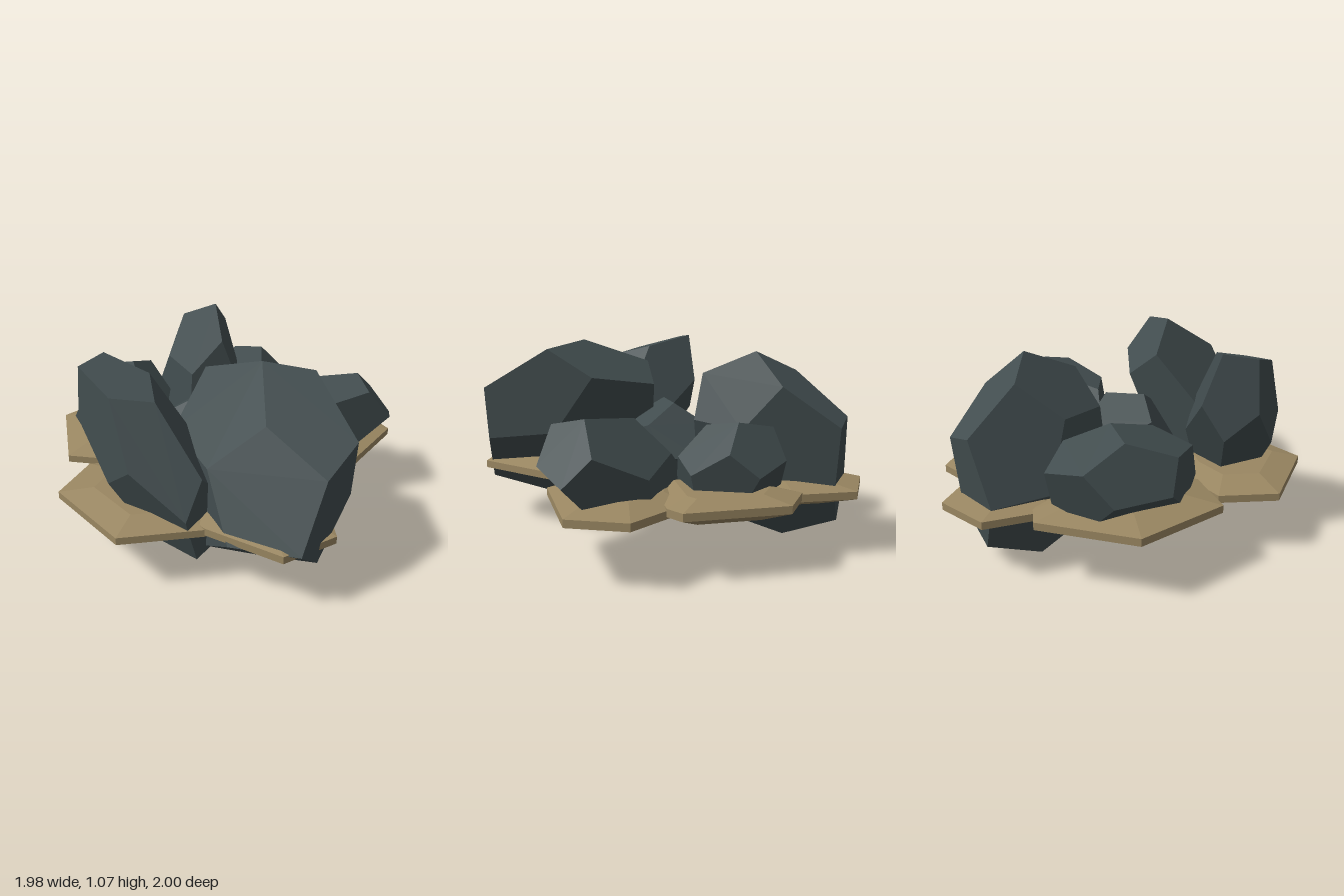
import * as THREE from 'three';
import { ConvexGeometry } from 'three/addons/geometries/ConvexGeometry.js';

const PHI = (1 + Math.sqrt(5)) / 2;

// Twelve-sided boulder, stretched and leaned. a, b, c are the offsets from the
// centre to the three corners that surround the boulder's top corner.
function boulderGeometry(centre, a, b, c) {
  const va = new THREE.Vector3(...a);
  let vb = new THREE.Vector3(...b), vc = new THREE.Vector3(...c);
  if (va.dot(vb.clone().cross(vc)) > 0) [vb, vc] = [vc, vb];
  const t = 1 / PHI;
  const unit = new THREE.Matrix4().makeBasis(
    new THREE.Vector3(0, t, PHI),
    new THREE.Vector3(t, PHI, 0),
    new THREE.Vector3(PHI, 0, t)
  );
  const lean = new THREE.Matrix4().makeBasis(va, vb, vc).multiply(unit.invert());
  const geo = new THREE.DodecahedronGeometry(Math.sqrt(3));
  geo.applyMatrix4(lean);
  geo.translate(...centre);
  geo.computeVertexNormals();
  return geo;
}

// Flat sand slab: a thin rim that rises and falls to smaller inner faces.
function slabGeometry(outline, lift) {
  const n = outline.length;
  const cx = outline.reduce((s, p) => s + p[0], 0) / n;
  const cz = outline.reduce((s, p) => s + p[1], 0) / n;
  const rings = [[0.6, 0.264], [1, 0.316], [1, 0.356], [0.62, 0.393]];
  const points = [];
  for (const [k, y] of rings) {
    for (const [x, z] of outline) {
      points.push(new THREE.Vector3(cx + (x - cx) * k, y + lift, cz + (z - cz) * k));
    }
  }
  return new ConvexGeometry(points);
}

export function createModel() {
  const rock = new THREE.MeshStandardMaterial({ color: 0x414c4e });
  rock.name = 'slate rock';
  const sand = new THREE.MeshStandardMaterial({ color: 0x9a8762 });
  sand.name = 'sand';

  const model = new THREE.Group();
  model.name = 'rockCluster';
  const add = (name, geo, mat) => {
    const mesh = new THREE.Mesh(geo, mat);
    mesh.name = name;
    model.add(mesh);
  };

  // Boulders: centre, then the three corner offsets
  const boulders = {
    rightBoulder: [[-0.6, 0.59, 0.04], [-0.03, 0, 0.36], [-0.195, 0.375, -0.07], [0.1, 0.405, -0.07]],
    frontRightBoulder: [[-0.305, 0.59, 0.51], [0.265, 0.44, 0.15], [-0.13, 0.28, 0.12], [0.145, 0.35, -0.445]],
    backBoulder: [[-0.095, 0.51, -0.62], [-0.03, 0.225, -0.16], [0.3, 0.17, -0.035], [-0.105, 0.17, 0.255]],
    backLeftBoulder: [[0.42, 0.52, -0.465], [-0.16, 0.39, 0.33], [0.255, 0.36, 0.05], [0.04, 0.415, -0.12]],
    leftBoulder: [[0.62, 0.46, -0.165], [0.09, 0.23, -0.19], [0.21, 0.13, 0.08], [-0.05, 0.23, 0.11]],
    frontLeftBoulder: [[0.49, 0.46, 0.39], [-0.035, 0.26, -0.1], [0.34, 0.15, 0.18], [0.02, 0.26, 0.32]],
    middleBoulder: [[0, 0.45, -0.015], [0, 0.108, 0.259], [0.115, 0.28, 0], [0.283, 0, 0.1]],
  };
  for (const [name, shape] of Object.entries(boulders)) {
    add(name, boulderGeometry(...shape), rock);
  }

  // Sand slabs: outline in x and z
  const slabs = {
    rightSlab: [[-0.99, 0.15], [-0.87, -0.38], [-0.56, -0.46], [-0.33, -0.21], [-0.2, 0.2], [-0.5, 0.55], [-0.68, 0.45]],
    frontRightSlab: [[-0.68, 0.45], [-0.64, 0.88], [-0.35, 1], [-0.09, 0.78], [0.06, 0.65], [0.03, 0.2], [-0.25, -0.06], [-0.6, 0.1]],
    backSlab: [[-0.59, -0.6], [-0.24, -1], [0.29, -0.93], [0.33, -0.8], [0.25, -0.4], [0.05, -0.2], [-0.27, -0.27], [-0.44, -0.31]],
    backLeftSlab: [[0.25, -0.78], [0.54, -0.95], [0.81, -0.78], [0.78, -0.45], [0.5, 0.05], [0.25, 0.03], [0.05, -0.3]],
    leftSlab: [[0.78, -0.49], [0.97, -0.35], [0.95, 0.18], [0.86, 0.23], [0.4, 0.2], [0.3, -0.2]],
    frontLeftSlab: [[0.07, 0.38], [0.31, 0.72], [0.85, 0.71], [0.985, 0.43], [0.77, 0.1], [0.3, -0.05], [0.1, 0.1]],
    middleSlab: [[-0.33, -0.19], [-0.2, -0.32], [0.3, -0.2], [0.3, 0.2], [0.07, 0.37], [-0.2, 0.3]],
  };
  Object.entries(slabs).forEach(([name, outline], i) => {
    add(name, slabGeometry(outline, ((i * 3) % 7 - 3) * 0.003), sand);
  });

  return model;
}
